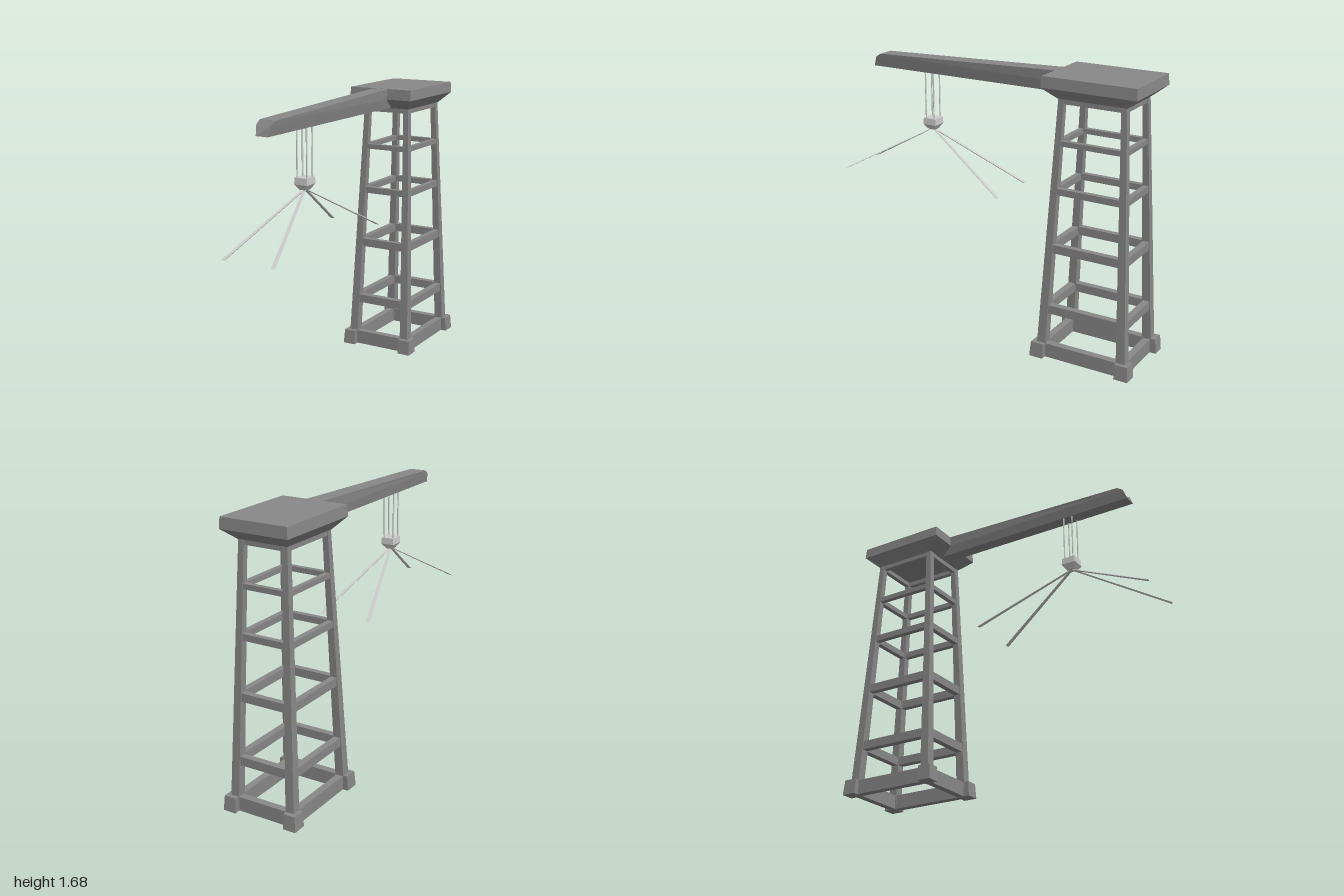
import * as THREE from 'three';

const dark = new THREE.MeshStandardMaterial({ color: 0x888888, flatShading: true });
const light = new THREE.MeshStandardMaterial({ color: 0xcccccc, flatShading: true });
const CZ = -0.685; // tower axis

// Skins a list of rings (counter-clockwise seen from the last ring's end) and caps both ends
function loft(rings) {
  const pos = [];
  const tri = (a, b, c) => pos.push(...a, ...b, ...c);
  const n = rings[0].length;
  for (let r = 0; r < rings.length - 1; r++) {
    const a = rings[r], b = rings[r + 1];
    for (let i = 0; i < n; i++) {
      const j = (i + 1) % n;
      tri(a[i], a[j], b[j]);
      tri(a[i], b[j], b[i]);
    }
  }
  const first = rings[0], last = rings[rings.length - 1];
  for (let i = 1; i < n - 1; i++) {
    tri(first[0], first[i + 1], first[i]);
    tri(last[0], last[i], last[i + 1]);
  }
  const g = new THREE.BufferGeometry();
  g.setAttribute('position', new THREE.Float32BufferAttribute(pos, 3));
  g.computeVertexNormals();
  return g;
}

// Horizontal rectangle centred on (x, z) with half sizes hx, hz
const rect = (x, y, z, hx, hz) => [
  [x + hx, y, z + hz], [x + hx, y, z - hz], [x - hx, y, z - hz], [x - hx, y, z + hz],
];

function add(parent, name, geometry, material) {
  const mesh = new THREE.Mesh(geometry, material);
  mesh.name = name;
  parent.add(mesh);
  return mesh;
}

function addBox(parent, name, w, h, d, x, y, z) {
  add(parent, name, new THREE.BoxGeometry(w, h, d), dark).position.set(x, y, z);
}

function createTower() {
  const tower = new THREE.Group();
  tower.name = 'tower';
  const at = (y) => {
    const t = (y - 0.09) / 1.46;
    return {
      hx: THREE.MathUtils.lerp(0.21, 0.153, t),
      hz: THREE.MathUtils.lerp(0.28, 0.203, t),
      w: THREE.MathUtils.lerp(0.054, 0.034, t),
    };
  };

  // Corner feet and leaning legs
  for (const sx of [-1, 1]) for (const sz of [-1, 1]) {
    add(tower, 'foot', loft([
      rect(sx * 0.2, 0, CZ + sz * 0.272, 0.04, 0.043),
      rect(sx * 0.197, 0.09, CZ + sz * 0.268, 0.037, 0.04),
    ]), dark);
    add(tower, 'leg', loft([0.03, 1.555].map((y) => {
      const { hx, hz, w } = at(y);
      return rect(sx * (hx - w / 2), y, CZ + sz * (hz - w / 2), w / 2, w / 2);
    })), dark);
  }

  // Rungs on all four sides: [centre height, thickness]
  const levels = [[0.044, 0.086], [0.306, 0.052], [0.68, 0.05], [1.022, 0.038], [1.3, 0.03], [1.536, 0.028]];
  for (const [y, h] of levels) {
    const { hx, hz, w } = at(y);
    const x = hx - w / 2, z = hz - w / 2, d = w * 0.8;
    for (const s of [-1, 1]) {
      addBox(tower, 'crossRung', 2 * x, h, d, 0, y, CZ + s * z);
      addBox(tower, 'sideRung', d, h, 2 * z, s * x, y, CZ);
    }
  }
  return tower;
}

function createHoist() {
  const hoist = new THREE.Group();
  hoist.name = 'hoist';
  const z = 0.447;

  // Four ropes down from the boom
  for (const sx of [-1, 1]) for (const sz of [-1, 1]) {
    const rope = add(hoist, 'rope', new THREE.CylinderGeometry(0.0045, 0.0045, 0.3, 6), light);
    rope.position.set(sx * 0.032, 1.415, z + sz * 0.028);
  }

  // Block with a tapered underside
  add(hoist, 'hookBlock', loft([
    rect(0, 1.205, z, 0.02, 0.022),
    rect(0, 1.237, z, 0.042, 0.044),
    rect(0, 1.276, z, 0.04, 0.042),
  ]), light);

  // Four flat slings spreading outwards
  for (const sx of [-1, 1]) for (const sz of [-1, 1]) {
    add(hoist, 'sling', loft([
      rect(sx * 0.159, 0.91, z + sz * 0.548, 0.011, 0.005),
      rect(0, 1.21, z, 0.008, 0.005),
    ]), light);
  }
  return hoist;
}

export function createModel() {
  const model = new THREE.Group();
  model.name = 'towerCrane';
  model.add(createTower());

  // Machine house: flared base and slab roof
  add(model, 'machineHouse', loft([
    rect(0, 1.55, CZ, 0.155, 0.206),
    rect(0, 1.612, CZ, 0.211, 0.284),
    rect(0, 1.676, CZ, 0.207, 0.28),
  ]), dark);

  // Boom: narrow keel, sloping top and raked nose
  const boomRing = (zBottom, zMid, zTop, yTop) => [
    [-0.038, 1.555, zBottom], [0.038, 1.555, zBottom],
    [0.048, 1.613, zMid], [0.051, yTop, zTop],
    [-0.051, yTop, zTop], [-0.048, 1.613, zMid],
  ];
  add(model, 'boom', loft([
    boomRing(-0.5, -0.5, -0.5, 1.674),
    boomRing(-0.4, -0.4, -0.4, 1.675),
    boomRing(0.847, 0.825, 0.79, 1.635),
  ]), dark);

  model.add(createHoist());
  return model;
}
